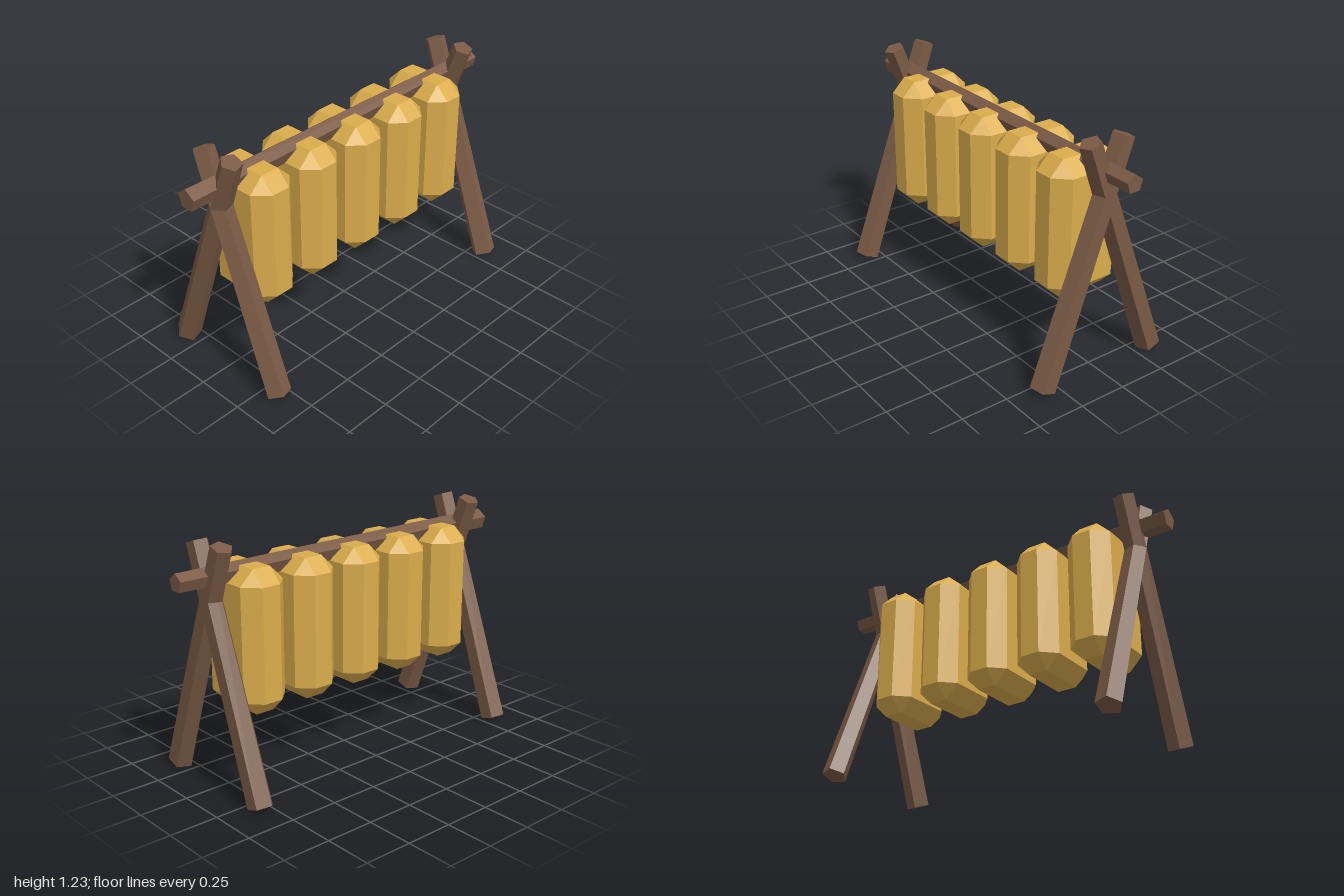
import * as THREE from 'three';
import { ConvexGeometry } from 'three/addons/geometries/ConvexGeometry.js';

const wood = new THREE.MeshStandardMaterial({ color: 0x7a5a45, flatShading: true });
wood.name = 'brown wood';
const straw = new THREE.MeshStandardMaterial({ color: 0xdbad4c, flatShading: true });
straw.name = 'golden straw';

// Tapered five-sided pole with one edge towards -x
function pole(rTop, rBottom, length) {
  return new THREE.CylinderGeometry(rTop, rBottom, length, 5, 1, false, -Math.PI / 2);
}

// Box with all edges and corners cut off
function chamferedBox(w, h, d, c) {
  const points = [];
  for (const sx of [-1, 1]) for (const sy of [-1, 1]) for (const sz of [-1, 1]) {
    const x = w / 2, y = h / 2, z = d / 2;
    points.push(
      new THREE.Vector3(sx * x, sy * (y - c), sz * (z - c)),
      new THREE.Vector3(sx * (x - c), sy * y, sz * (z - c)),
      new THREE.Vector3(sx * (x - c), sy * (y - c), sz * z)
    );
  }
  return new ConvexGeometry(points);
}

export function createModel() {
  const model = new THREE.Group();
  model.name = 'hangingRack';

  const add = (name, geometry, material, x, y, z) => {
    const mesh = new THREE.Mesh(geometry, material);
    mesh.name = name;
    mesh.position.set(x, y, z);
    model.add(mesh);
    return mesh;
  };

  // Crossed legs at both ends
  const legGeometry = pole(0.055, 0.065, 1.267);
  for (const x of [-0.812, 0.808]) {
    for (const side of [-1, 1]) {
      const leg = add(side > 0 ? 'frontLeg' : 'backLeg', legGeometry, wood, x, 0.62, side * 0.12);
      leg.rotation.x = -side * THREE.MathUtils.degToRad(19.9);
    }
  }

  // Crossbeam resting in the forks
  const beam = add('crossbeam', pole(0.047, 0.056, 2), wood, 0, 1.065, 0);
  beam.rotation.z = -Math.PI / 2;

  // Row of hanging bundles
  const bundleGeometry = chamferedBox(0.246, 0.715, 0.4, 0.073);
  for (let i = -2; i <= 2; i++) {
    add('bundle', bundleGeometry, straw, i * 0.309 - 0.002, 0.739, 0);
  }

  return model;
}
